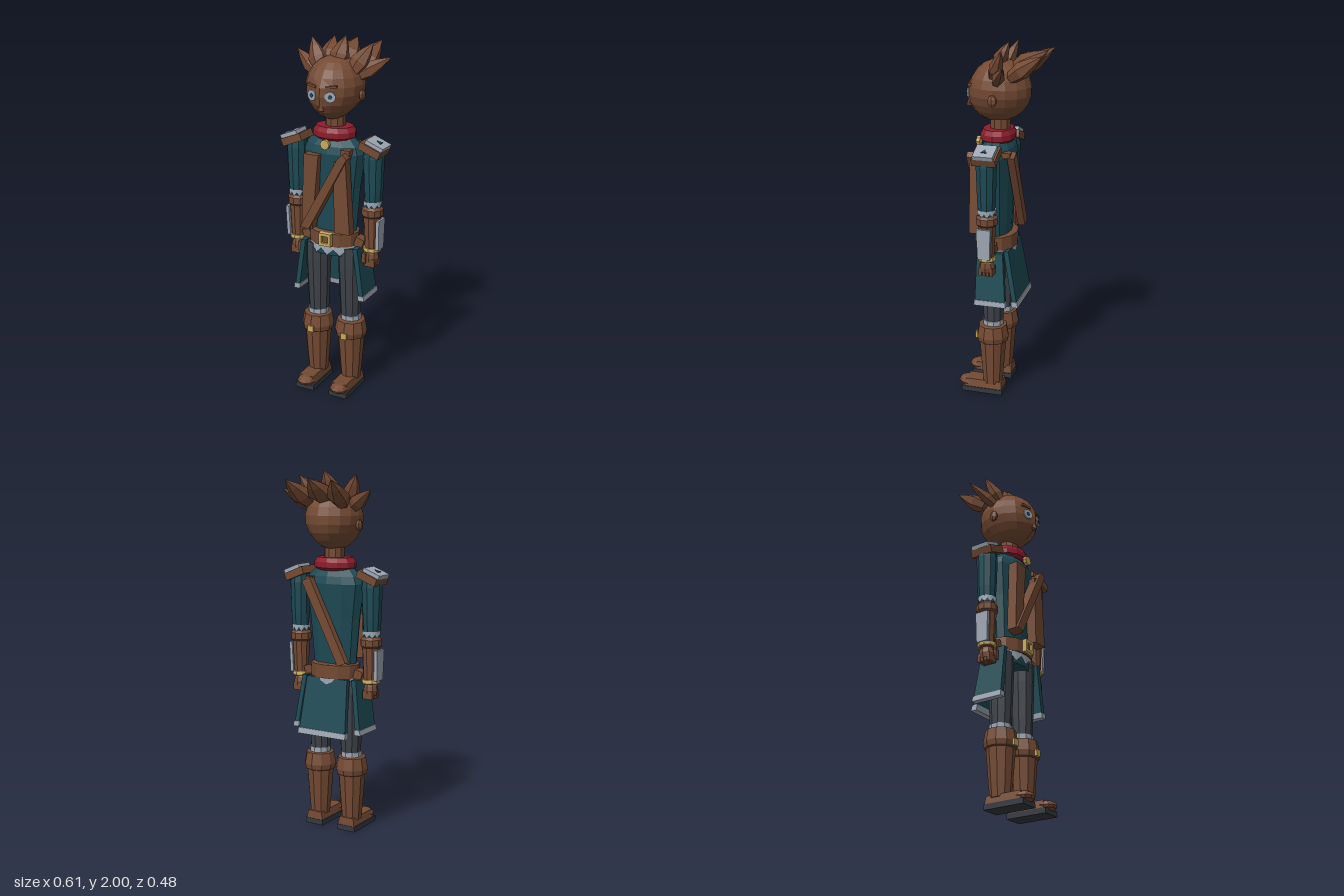
import * as THREE from 'three';

const mat = (name, color) => {
  const m = new THREE.MeshStandardMaterial({ color, flatShading: true, side: THREE.DoubleSide });
  m.name = name;
  return m;
};

export function createModel() {
  const brown = mat('brown', 0x744a33), teal = mat('teal cloth', 0x1d4a54);
  const silver = mat('silver trim', 0x9ea7b4), red = mat('red scarf', 0x8c1c2c);
  const gold = mat('gold', 0xc8aa5c), trousers = mat('charcoal trousers', 0x3d4248);
  const sole = mat('dark sole', 0x333840);
  const root = new THREE.Group();
  const CZ = 0.035; // depth of the body axis

  const add = (name, geo, m, x = 0, y = 0, z = 0) => {
    const mesh = new THREE.Mesh(geo, m);
    mesh.name = name;
    mesh.position.set(x, y, z);
    root.add(mesh);
    return mesh;
  };
  // turned form from [radius, y] pairs, bottom to top, squashed in depth
  const turned = (name, pts, m, x, z, depth = 1, sides = 10) => {
    const p = [[0, pts[0][1]], ...pts, [0, pts[pts.length - 1][1]]];
    const g = new THREE.LatheGeometry(p.map(a => new THREE.Vector2(...a)), sides);
    return add(name, g.scale(1, 1, depth), m, x, 0, z);
  };
  const box = (name, w, h, d, m, x, y, z) => add(name, new THREE.BoxGeometry(w, h, d), m, x, y, z);
  // block between two rectangles [x0, x1, z0, z1, y]
  const block = (name, bottom, top, m) => {
    const g = new THREE.BoxGeometry(1, 1, 1), p = g.attributes.position;
    for (let i = 0; i < p.count; i++) {
      const r = p.getY(i) > 0 ? top : bottom;
      p.setXYZ(i, r[p.getX(i) > 0 ? 1 : 0], r[4], r[p.getZ(i) > 0 ? 3 : 2]);
    }
    return add(name, g, m);
  };
  // flat outline in x, y pushed from z0 to z1
  const plate = (name, pts, z0, z1, m) => {
    const s = new THREE.Shape(pts.map(a => new THREE.Vector2(...a)));
    return add(name, new THREE.ExtrudeGeometry(s, { depth: z1 - z0, bevelEnabled: false }), m, 0, 0, z0);
  };
  // band with a toothed lower edge
  const toothed = (name, r, y0, y1, teeth, depth, m, x) => {
    const g = new THREE.CylinderGeometry(r, r, y1 - y0, teeth * 2, 1, true), p = g.attributes.position;
    for (let i = 0; i < p.count; i++)
      if (p.getY(i) < 0 && (i % (teeth * 2 + 1)) % 2) p.setY(i, (y1 - y0) * 0.1);
    return add(name, g.scale(1, 1, depth), m, x, (y0 + y1) / 2, CZ);
  };

  // Head: faceted ball narrowed to the jaw, with a ridge down the face
  const hg = new THREE.SphereGeometry(1, 16, 11), hp = hg.attributes.position;
  for (let i = 0; i < hp.count; i++) {
    let x = hp.getX(i), y = hp.getY(i), z = hp.getZ(i);
    const low = Math.max(0, -y);
    const ridge = z > 0 && y < 0.3 && y > -0.97 ? Math.max(0, 1 - Math.abs(x) / 0.3) * 0.1 * (1 - Math.abs(y + 0.4) * 0.6) : 0;
    x *= 1 - 0.18 * low;
    z += ridge + 0.12 * low * (z > 0 ? 1 : 0.3);
    hp.setXYZ(i, x * 0.158, y * 0.167, z * 0.17);
  }
  add('head', hg, brown, 0, 1.735, 0.023);
  turned('neck', [[0.056, 1.48], [0.056, 1.62]], brown, 0, 0.025);
  add('nose', new THREE.ConeGeometry(0.02, 0.06, 4), brown, 0, 1.67, 0.195);
  for (const s of [-1, 1]) {
    const eye = add('eye', new THREE.CylinderGeometry(0.029, 0.029, 0.008, 10).rotateX(Math.PI / 2), silver, s * 0.053, 1.715, 0.188);
    const pupil = add('pupil', new THREE.CylinderGeometry(0.011, 0.011, 0.006, 8).rotateX(Math.PI / 2), teal, s * 0.054, 1.715, 0.192);
    eye.rotation.y = pupil.rotation.y = s * 0.3;
    const brow = box('brow', 0.06, 0.013, 0.02, brown, s * 0.055, 1.765, 0.178);
    brow.rotation.set(0, s * 0.3, s * 0.12);
    add('ear', new THREE.SphereGeometry(1, 6, 5).scale(0.016, 0.032, 0.026), brown, s * 0.157, 1.705, 0.025);
  }

  // Hair: faceted spikes from base to tip
  const spike = (base, tip, r, flat = 0.75) => {
    const a = new THREE.Vector3(...base), d = new THREE.Vector3(...tip).sub(a), L = d.length();
    const pts = [[0, 0], [r * 0.7, 0.02 * L], [r, L * 0.35], [r * 0.6, L * 0.68], [0, L]];
    const g = new THREE.LatheGeometry(pts.map(p => new THREE.Vector2(...p)), 6).scale(1, 1, flat);
    add('hairSpike', g, brown, ...base).quaternion.setFromUnitVectors(new THREE.Vector3(0, 1, 0), d.normalize());
  };
  for (const s of [-1, 1]) {
    spike([s * 0.11, 1.795, 0.015], [s * 0.28, 1.898, -0.065], 0.046);
    spike([s * 0.10, 1.82, -0.06], [s * 0.143, 1.95, -0.24], 0.064);
  }
  spike([0, 1.84, -0.05], [0, 1.955, -0.235], 0.075);
  spike([-0.085, 1.82, 0.035], [-0.17, 1.977, -0.03], 0.052);
  spike([0.015, 1.85, 0.045], [0.032, 1.998, -0.033], 0.055);
  spike([0.1, 1.82, 0.035], [0.19, 1.972, -0.035], 0.052);

  // Tunic, scarf and brooch
  turned('tunic', [[0.13, 0.88], [0.133, 0.95], [0.155, 1.2], [0.182, 1.39], [0.165, 1.43], [0.11, 1.48]], teal, 0, CZ, 0.54, 12);
  turned('scarf', [[0.1, 1.46], [0.122, 1.475], [0.122, 1.505], [0.105, 1.53], [0.06, 1.53]], red, 0, CZ, 0.78, 12);
  const brooch = add('brooch', new THREE.CylinderGeometry(0.027, 0.027, 0.02, 8), gold, 0, 1.447, 0.145);
  brooch.rotation.x = Math.PI / 2;

  // Leather chest panels and the strap over the left shoulder
  plate('chestPanel', [[-0.14, 0.975], [-0.075, 0.965], [-0.035, 1.385], [-0.122, 1.385]], 0.105, 0.16, brown);
  plate('chestPanel', [[0.06, 0.965], [0.152, 0.965], [0.125, 1.39], [0.055, 1.36]], 0.105, 0.16, brown);
  plate('frontStrap', [[-0.14, 0.975], [-0.09, 0.965], [0.14, 1.39], [0.115, 1.415], [0.085, 1.385]], 0.115, 0.175, brown);
  plate('backStrap', [[-0.14, 0.97], [-0.09, 0.95], [0.14, 1.4], [0.09, 1.425]], -0.09, -0.05, brown);
  box('shoulderStrap', 0.05, 0.03, 0.2, brown, 0.11, 1.41, CZ);

  // Belt, buckle and hip pouches
  turned('belt', [[0.144, 0.87], [0.146, 0.945], [0.135, 0.95]], brown, 0, CZ, 0.74, 12);
  const frame = new THREE.Shape([[-1, -1], [1, -1], [1, 1], [-1, 1]].map(([x, y]) => new THREE.Vector2(x * 0.036, y * 0.036)));
  frame.holes.push(new THREE.Path([[-1, -1], [-1, 1], [1, 1], [1, -1]].map(([x, y]) => new THREE.Vector2(x * 0.02, y * 0.02))));
  add('buckle', new THREE.ExtrudeGeometry(frame, { depth: 0.03, bevelEnabled: false }), gold, 0, 0.913, 0.13);
  box('buckleCentre', 0.044, 0.044, 0.02, brown, 0, 0.913, 0.136);
  turned('tunicHem', [[0.128, 0.81], [0.14, 0.875]], teal, 0, CZ, 0.64, 12);
  toothed('hemTrim', 0.146, 0.815, 0.872, 12, 0.66, silver, 0);

  // Skirt panels with a pale lower edge
  const skirt = (name, b, t) => {
    block(name, b, t, teal);
    const pad = 0.004, at = f => b.map((v, i) => v + (t[i] - v) * f + [-pad, pad, -pad, pad, 0][i]);
    block(name + 'Trim', at(-0.01), at(0.09), silver);
  };
  skirt('backSkirt', [-0.15, 0.15, -0.112, -0.085, 0.555], [-0.13, 0.13, -0.055, -0.028, 0.87]);

  for (const s of [-1, 1]) {
    const sx = (a, b) => (s > 0 ? [a, b] : [-b, -a]);
    skirt('sideSkirt', [...sx(0.187, 0.215), -0.06, 0.112, 0.575], [...sx(0.145, 0.173), -0.035, 0.11, 0.87]);
    const pouch = box('hipPouch', 0.05, 0.055, 0.06, brown, s * 0.16, 0.89, CZ);
    pouch.rotation.z = s * -0.3;

    // Arm: sleeve, trim, forearm, guard, bracelet, hand
    const ax = s * 0.228;
    turned('sleeve', [[0.045, 1.11], [0.052, 1.2], [0.058, 1.38], [0.05, 1.45]], teal, s * 0.232, CZ);
    toothed('sleeveTrim', 0.051, 1.105, 1.142, 10, 1, silver, ax);
    turned('forearm', [[0.04, 0.85], [0.045, 0.95], [0.05, 1.05], [0.059, 1.06], [0.059, 1.095], [0.045, 1.11]], brown, ax, CZ);
    block('forearmGuard', [...sx(0.262, 0.282), 0.005, 0.072, 0.87], [...sx(0.268, 0.286), 0, 0.078, 1.04], silver);
    turned('bracelet', [[0.049, 0.853], [0.051, 0.862], [0.049, 0.875]], gold, ax, CZ);
    add('hand', new THREE.SphereGeometry(1, 8, 6).scale(0.04, 0.05, 0.044), brown, ax, 0.815, CZ);
    for (let i = 0; i < 4; i++) box('finger', 0.06, 0.045, 0.016, brown, ax, 0.79, CZ - 0.03 + i * 0.02);
    box('thumb', 0.022, 0.055, 0.022, brown, ax - s * 0.03, 0.815, CZ + 0.035);

    // Sloping shoulder guard with a pale plate and small inlay
    const guard = new THREE.Group();
    guard.name = 'shoulderGuard';
    guard.position.set(s * 0.232, 1.431, CZ);
    guard.rotation.z = s * -0.38;
    root.add(guard);
    guard.add(
      box('guardBase', 0.125, 0.042, 0.132, brown, 0, 0, 0),
      box('guardPlate', 0.105, 0.022, 0.11, silver, s * 0.012, 0.031, 0));
    const inlay = add('guardInlay', new THREE.CylinderGeometry(0.019, 0.019, 0.006, 3), teal, s * 0.02, 0.043, 0);
    inlay.rotation.y = s * -Math.PI / 2;
    guard.add(inlay);

    // Leg: trousers, cuff trim, boot
    const lx = s * 0.105;
    turned('trouserLeg', [[0.054, 0.4], [0.062, 0.55], [0.07, 0.75], [0.07, 0.86]], trousers, s * 0.1, 0.038);
    turned('trouserTrim', [[0.06, 0.415], [0.06, 0.452]], silver, s * 0.103, 0.038);
    turned('boot', [[0.056, 0.06], [0.064, 0.15], [0.077, 0.32], [0.086, 0.325], [0.092, 0.355], [0.08, 0.42], [0.058, 0.425]], brown, lx, 0.041);
    box('bootBuckle', 0.036, 0.036, 0.014, gold, lx, 0.345, 0.132);
    block('foot', [lx - 0.053, lx + 0.053, -0.022, 0.195, 0.028], [lx - 0.044, lx + 0.044, -0.018, 0.19, 0.074], brown);
    add('toeCap', new THREE.SphereGeometry(1, 10, 6).scale(0.054, 0.03, 0.058), brown, lx, 0.048, 0.183);
    box('sole', 0.113, 0.03, 0.236, sole, lx, 0.015, 0.093);
  }
  return root;
}
